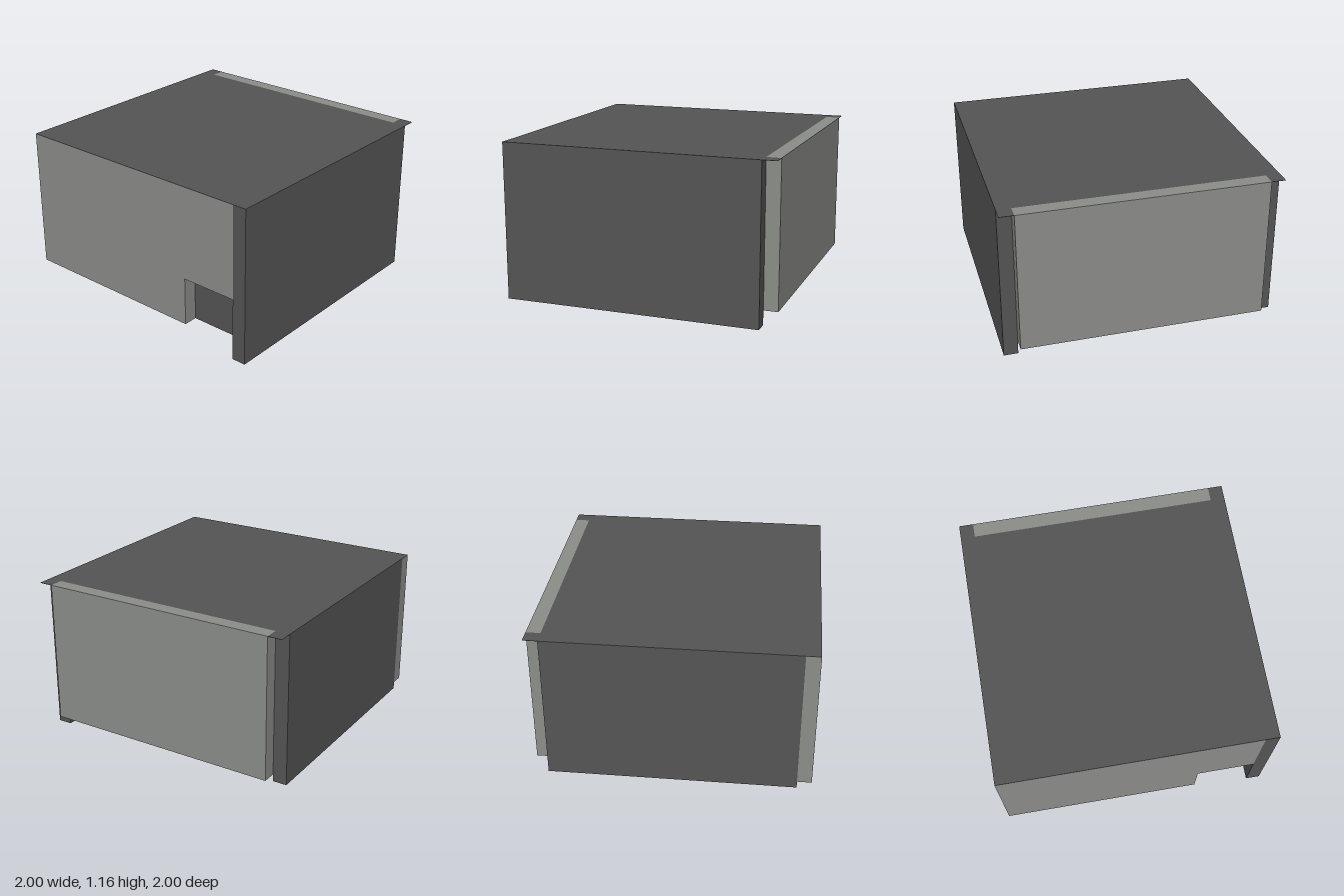
import * as THREE from 'three';

const TOP = 1.16;   // roof height
const BASE = 0.105; // underside of the body
const IN = 0.896;   // inner face of the walls

export function createModel() {
  const model = new THREE.Group();
  model.name = 'boxBuilding';

  const darkGrey = new THREE.MeshStandardMaterial({ color: 0x555555 });
  darkGrey.name = 'darkGrey';
  const lightGrey = new THREE.MeshStandardMaterial({ color: 0x8c8e8a });
  lightGrey.name = 'lightGrey';

  // Box given by its low and high corners
  function block(name, material, [x0, y0, z0], [x1, y1, z1]) {
    const mesh = new THREE.Mesh(new THREE.BoxGeometry(x1 - x0, y1 - y0, z1 - z0), material);
    mesh.position.set((x0 + x1) / 2, (y0 + y1) / 2, (z0 + z1) / 2);
    mesh.name = name;
    model.add(mesh);
  }

  // Dark inner body, seen through the front opening and from below
  block('core', darkGrey, [-IN, BASE, -IN], [IN, TOP - 0.004, IN]);

  // Side walls hang below the body by different amounts
  block('leftWall', darkGrey, [IN, 0, -IN], [1, TOP - 0.002, 1]);
  block('rightWall', darkGrey, [-1, 0.052, -IN], [-IN, TOP - 0.002, IN]);

  // Back wall between the open rear corners, its top edge showing in the roof
  block('backWall', lightGrey, [-IN, BASE, -1], [IN, TOP, -IN]);

  // Front wall with a low opening cut from its lower corner
  const outline = new THREE.Shape([
    [-1, BASE], [0.468, BASE], [0.468, 0.465], [IN, 0.465], [IN, TOP - 0.002], [-1, TOP - 0.002],
  ].map(([x, y]) => new THREE.Vector2(x, y)));
  const frontWall = new THREE.Mesh(
    new THREE.ExtrudeGeometry(outline, { depth: 1 - IN, bevelEnabled: false }), lightGrey);
  frontWall.position.z = IN;
  frontWall.name = 'frontWall';
  model.add(frontWall);

  // Thin roof sheet: main part plus the two overhanging rear corners
  block('roof', darkGrey, [-1, TOP - 0.002, -IN], [1, TOP, 1]);
  for (const side of [-1, 1]) {
    block(side > 0 ? 'roofCornerLeft' : 'roofCornerRight', darkGrey,
      [side > 0 ? IN : -1, TOP - 0.002, -1], [side > 0 ? 1 : -IN, TOP, -IN]);
  }

  return model;
}
